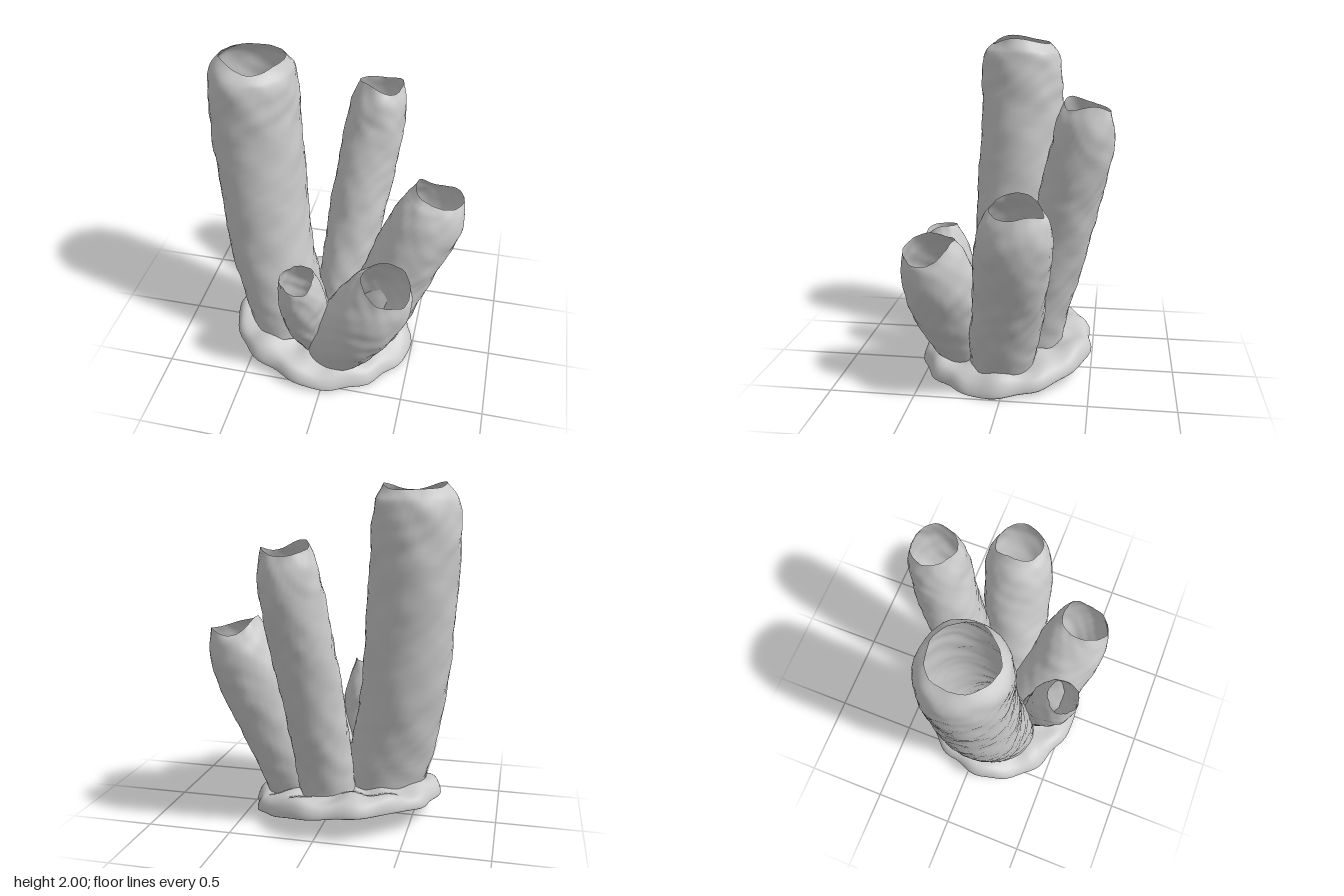
import * as THREE from 'three';

const material = new THREE.MeshStandardMaterial({ color: 0xcccccc, side: THREE.DoubleSide });

// Smooth closed-ring loft: at(angle, v) gives a point, v runs 0..1 upwards on the outside.
function loft(name, segs, rings, at) {
  const pos = [], idx = [];
  for (let i = 0; i <= rings; i++) {
    for (let j = 0; j < segs; j++) {
      pos.push(...at((j / segs) * Math.PI * 2, i / rings).toArray());
      if (i === rings) continue;
      const k = (j + 1) % segs, a = i * segs;
      const b = a + segs;
      idx.push(a + j, b + j, a + k, a + k, b + j, b + k);
    }
  }
  const geo = new THREE.BufferGeometry();
  geo.setAttribute('position', new THREE.Float32BufferAttribute(pos, 3));
  geo.setIndex(idx);
  geo.computeVertexNormals();
  const mesh = new THREE.Mesh(geo, material);
  mesh.name = name;
  return mesh;
}

// Blotchy lumps, about -1..1, periodic in angle
const lumps = (a, h, s) =>
  0.4 * Math.sin(3 * a + s) * Math.sin(9 * h + 2 * s) +
  0.4 * Math.sin(5 * a + 2 * s + Math.sin(8 * h)) * Math.sin(23 * h + Math.sin(2 * a)) +
  0.35 * Math.sin(8 * a + 3 * s + 2 * Math.sin(11 * h)) * Math.sin(37 * h + 2 * Math.sin(3 * a + s));

// Open tube through [x, y, z, radius] stations; the last stations pinch in to a wavy mouth
function tube(name, stations, seed, wave, phase) {
  const path = new THREE.CatmullRomCurve3(stations.map(p => new THREE.Vector3(p[0], p[1], p[2])));
  const radii = new THREE.CatmullRomCurve3(stations.map(p => new THREE.Vector3(p[3], p[1], 0)));
  const axis = path.getPoint(1).sub(path.getPoint(0)).normalize();
  return loft(name, 40, 56, (a, v) => {
    const c = path.getPoint(v), r = radii.getPoint(v).x;
    const t = path.getTangent(v).lerp(axis, 0.5).normalize();
    const x = new THREE.Vector3(1, 0, 0).addScaledVector(t, -t.x).normalize();
    const z = x.clone().cross(t);
    const rr = r + 0.01 * lumps(a, c.y, seed);
    const rim = Math.max(0, (v - 0.75) / 0.25) ** 2;
    return c.addScaledVector(x, Math.cos(a) * rr)
      .addScaledVector(z, Math.sin(a) * rr)
      .addScaledVector(t, rim * wave * (Math.cos(2 * a + phase) + 0.5 * Math.sin(3 * a + seed)));
  });
}

// Tilted, ragged foot: a hollow skirt that spreads to a thin edge at the bottom
function foot() {
  const profile = new THREE.CatmullRomCurve3([
    [0.87, 0.035], [0.94, 0.008], [1.0, 0.0], [0.995, 0.03], [0.955, 0.07], [0.88, 0.095], [0.74, 0.105],
    [0.5, 0.11], [0.3, 0.11],
  ].map(p => new THREE.Vector3(p[0], p[1], 0)));
  return loft('foot', 80, 30, (a, v) => {
    const p = profile.getPoint(v);
    const notch = 0.09 * Math.exp(-(((a - 3.85) / 0.4) ** 2));
    const ragged = 1 - notch + 0.018 * Math.sin(5 * a + 1) + 0.012 * Math.sin(9 * a) + 0.012 * Math.sin(14 * a + 2);
    const x = -0.09 + 0.57 * p.x * ragged * Math.cos(a);
    const z = 0.025 + 0.525 * p.x * ragged * Math.sin(a);
    const bump = (0.2 + 8 * p.y) * (0.012 * Math.sin(6 * a + 9 * p.x) + 0.009 * Math.sin(11 * a - 5 * p.x));
    const back = 0.12 * Math.max(0, -z - 0.2);
    return new THREE.Vector3(x, Math.max(0, 0.06 - 0.11 * x - 0.07 * z + p.y + bump + back), z);
  });
}

export function createModel() {
  const group = new THREE.Group();
  group.name = 'tubeSponge';
  group.add(
    foot(),
    tube('tallTube', [
      [-0.29, 0.16, 0.09, 0.25], [-0.36, 0.42, 0.065, 0.25], [-0.43, 0.8, 0.03, 0.255], [-0.46, 1.2, 0.005, 0.258],
      [-0.483, 1.55, -0.01, 0.258], [-0.488, 1.78, -0.01, 0.252], [-0.485, 1.9, -0.01, 0.232], [-0.475, 1.97, -0.01, 0.18],
    ], 0.6, 0.017, 0.3),
    tube('backTube', [
      [-0.01, 0.14, -0.135, 0.165], [0.01, 0.4, -0.19, 0.17], [0.05, 0.75, -0.275, 0.175], [0.09, 1.1, -0.355, 0.18],
      [0.135, 1.4, -0.42, 0.176], [0.15, 1.55, -0.44, 0.162], [0.155, 1.65, -0.45, 0.13],
    ], 2.1, 0.018, 1.2),
    tube('rightTube', [
      [0.2, 0.11, 0.025, 0.195], [0.27, 0.3, 0.005, 0.205], [0.375, 0.58, -0.04, 0.21],
      [0.47, 0.82, -0.07, 0.215], [0.54, 1.0, -0.09, 0.205], [0.565, 1.09, -0.1, 0.178], [0.575, 1.155, -0.105, 0.145],
    ], 3.7, 0.02, 0.4),
    tube('frontTube', [
      [0.03, 0.12, 0.235, 0.2], [0.085, 0.26, 0.29, 0.213], [0.19, 0.46, 0.355, 0.218],
      [0.285, 0.64, 0.39, 0.212], [0.34, 0.77, 0.41, 0.185], [0.365, 0.855, 0.425, 0.15],
    ], 5.2, 0.018, 2.2),
    tube('smallTube', [
      [-0.1, 0.14, 0.25, 0.09], [-0.12, 0.28, 0.31, 0.11], [-0.13, 0.48, 0.37, 0.133],
      [-0.135, 0.65, 0.41, 0.138], [-0.14, 0.76, 0.44, 0.12], [-0.145, 0.835, 0.46, 0.1],
    ], 1.4, 0.012, 0.8),
  );
  return group;
}
